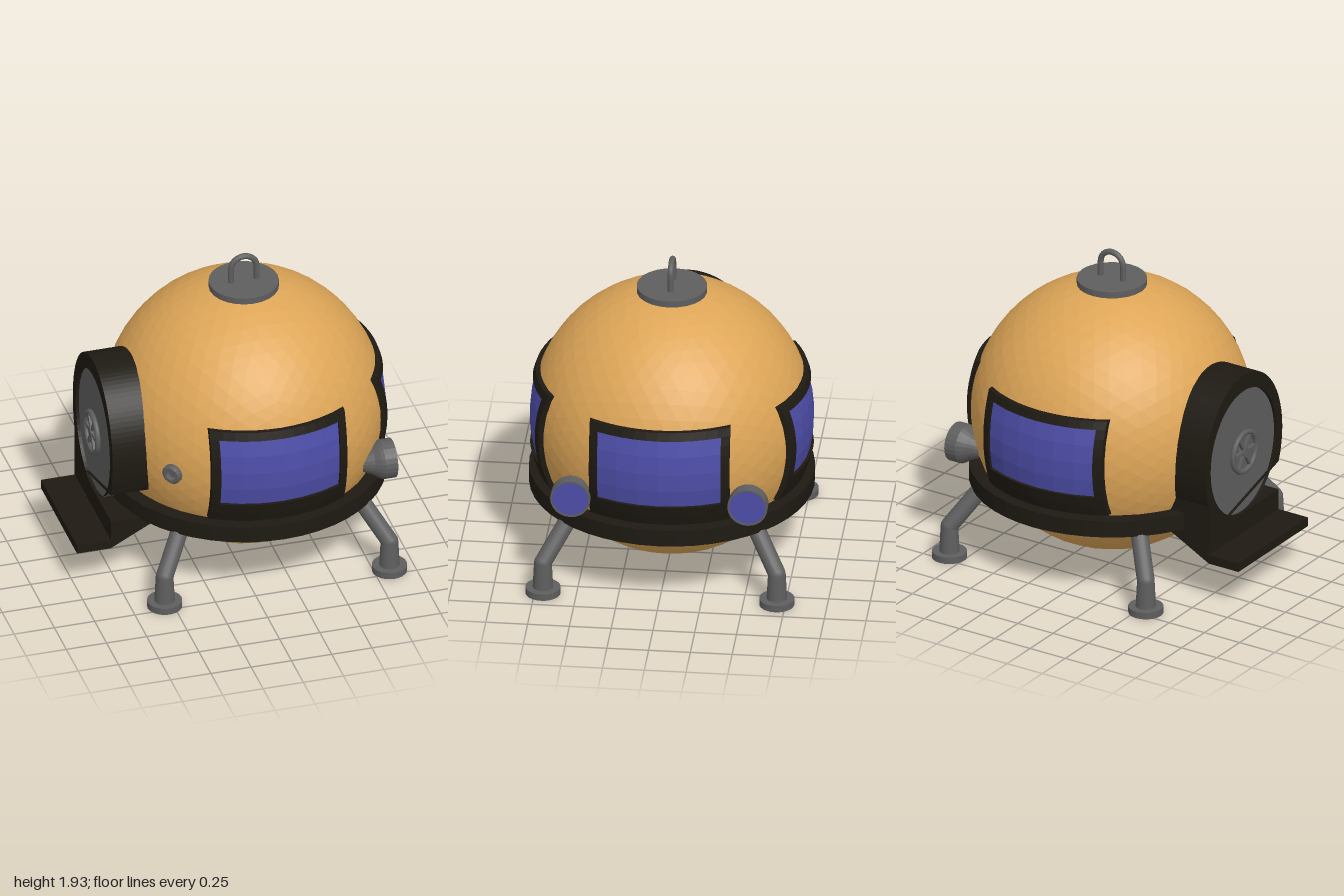
import * as THREE from 'three';

const CX = 0.147, CY = 0.88, R = 0.84;

const paint = (color, flatShading = true) =>
  new THREE.MeshStandardMaterial({ color, flatShading, side: THREE.DoubleSide });
const ORANGE = paint(0xdda557), BLACK = paint(0x1e1a13), GREY = paint(0x5e5e5e);
const SMOOTH_GREY = paint(0x5e5e5e, false), BLUE = paint(0x4d4da8);

function part(parent, name, geometry, material, x = 0, y = 0, z = 0) {
  const m = new THREE.Mesh(geometry, material);
  m.name = name;
  m.position.set(x, y, z);
  parent.add(m);
  return m;
}

// A block whose back and front faces are bent onto spheres of radius r0 and r1
function curvedBlock(x0, x1, y0, y1, r0, r1, nx, ny) {
  const g = new THREE.BoxGeometry(x1 - x0, y1 - y0, 1, nx, ny, 1);
  g.translate((x0 + x1) / 2, (y0 + y1) / 2, 0);
  const p = g.attributes.position;
  for (let i = 0; i < p.count; i++) {
    const r = p.getZ(i) > 0 ? r1 : r0, x = p.getX(i), y = p.getY(i);
    p.setZ(i, Math.sqrt(r * r - x * x - y * y));
  }
  g.computeVertexNormals();
  return g;
}

// Framed bubble window facing +z about the hull centre
function makeWindow(name) {
  const w = new THREE.Group();
  w.name = name;
  const bars = [
    ['frameTop', -0.42, 0.42, 0.25, 0.3, 12, 1],
    ['frameSill', -0.42, 0.42, -0.325, -0.19, 12, 2],
    ['frameLeft', 0.37, 0.42, -0.19, 0.25, 1, 8],
    ['frameRight', -0.42, -0.37, -0.19, 0.25, 1, 8],
  ];
  for (const [n, x0, x1, y0, y1, nx, ny] of bars)
    part(w, n, curvedBlock(x0, x1, y0, y1, 0.8, 0.866, nx, ny), BLACK);
  part(w, 'glass', curvedBlock(-0.375, 0.375, -0.195, 0.255, 0.8, 0.848, 6, 4), BLUE);
  return w;
}

// Landing leg: foot pad, upright and strut leaning in to the hull
function makeLeg(sx, sz) {
  const leg = new THREE.Group();
  leg.name = 'leg';
  part(leg, 'footPad', new THREE.CylinderGeometry(0.105, 0.105, 0.042, 24), GREY, sx * 0.698, 0.021, sz * 0.7);
  part(leg, 'upright', new THREE.CylinderGeometry(0.053, 0.062, 0.17, 16), SMOOTH_GREY, sx * 0.698, 0.12, sz * 0.7);
  part(leg, 'knee', new THREE.SphereGeometry(0.053, 16, 10), SMOOTH_GREY, sx * 0.698, 0.205, sz * 0.7);
  const a = new THREE.Vector3(sx * 0.698, 0.205, sz * 0.7);
  const b = new THREE.Vector3(sx * 0.52, 0.5, sz * 0.52);
  part(leg, 'strut', new THREE.TubeGeometry(new THREE.LineCurve3(a, b), 1, 0.053, 16), SMOOTH_GREY);
  return leg;
}

// Headlamp facing +x
function makeLamp(z) {
  const lamp = new THREE.Group();
  lamp.name = 'headlamp';
  const profile = [[0, 0], [0.055, 0], [0.065, 0.02], [0.085, 0.065], [0.11, 0.1], [0.12, 0.12],
    [0.12, 0.195], [0.109, 0.195], [0.109, 0.17]].map(([r, y]) => new THREE.Vector2(r, y));
  part(lamp, 'lampShell', new THREE.LatheGeometry(profile, 24), GREY);
  part(lamp, 'lens', new THREE.CylinderGeometry(0.11, 0.11, 0.02, 24), BLUE, 0, 0.18, 0);
  lamp.rotation.z = -Math.PI / 2;
  lamp.position.set(0.72, 0.677, z);
  return lamp;
}

// Hatch on the -x side: arched housing, oval door, hand wheel and step
function makeHatch() {
  const hatch = new THREE.Group();
  hatch.name = 'hatch';
  const cy = 0.84;

  const arch = new THREE.Shape();
  arch.moveTo(0.38, 0.41 - cy);
  arch.absellipse(0, 0, 0.42, 0.505, -0.44, Math.PI + 0.44, false);
  arch.lineTo(-0.38, 0.41 - cy);
  arch.closePath();
  const hole = new THREE.Path();
  hole.absellipse(0, 0, 0.36, 0.4, 0, Math.PI * 2, true);
  arch.holes.push(hole);
  const housing = part(hatch, 'hatchHousing',
    new THREE.ExtrudeGeometry(arch, { depth: 0.34, bevelEnabled: false, curveSegments: 32 }), BLACK, -0.45, cy, 0);
  housing.rotation.y = -Math.PI / 2;

  const door = part(hatch, 'door', new THREE.CylinderGeometry(0.365, 0.365, 0.05, 40), GREY, -0.745, cy, 0);
  door.rotation.z = Math.PI / 2;
  door.scale.x = 1.11;

  // Hand wheel with crossed spokes
  const wheel = new THREE.Group();
  wheel.name = 'handWheel';
  wheel.position.set(-0.795, cy, 0);
  wheel.rotation.y = -Math.PI / 2;
  part(wheel, 'wheelRim', new THREE.TorusGeometry(0.125, 0.017, 8, 28), SMOOTH_GREY);
  for (let i = 0; i < 3; i++)
    part(wheel, 'spoke', new THREE.BoxGeometry(0.24, 0.022, 0.02), GREY).rotation.z = i * Math.PI / 3;
  const axle = part(wheel, 'axle', new THREE.CylinderGeometry(0.03, 0.03, 0.06, 12), GREY, 0, 0, -0.015);
  axle.rotation.x = Math.PI / 2;
  hatch.add(wheel);

  // Step with sloped underside
  const step = new THREE.Shape([[-1, 0.252], [-0.79, 0.252], [-0.45, 0.432], [-0.45, 0.44], [-0.79, 0.44],
    [-0.79, 0.308], [-1, 0.308]].map(([x, y]) => new THREE.Vector2(x, y)));
  part(hatch, 'step', new THREE.ExtrudeGeometry(step, { depth: 0.76, bevelEnabled: false }), BLACK, 0, 0, -0.38);
  return hatch;
}

export function createModel() {
  const model = new THREE.Group();
  model.name = 'divingPod';

  part(model, 'hull', new THREE.IcosahedronGeometry(R, 9), ORANGE, CX, CY, 0);
  part(model, 'bumperRing', new THREE.CylinderGeometry(0.852, 0.852, 0.105, 48), BLACK, CX, 0.487, 0);

  // Windows at front, left and back
  ['frontWindow', 'leftWindow', 'backWindow'].forEach((name, i) => {
    const w = makeWindow(name);
    w.position.set(CX, CY, 0);
    w.rotation.y = i * Math.PI / 2;
    model.add(w);
  });

  // Legs
  const legs = new THREE.Group();
  legs.name = 'legs';
  legs.position.x = CX;
  for (const sx of [-1, 1]) for (const sz of [-1, 1]) legs.add(makeLeg(sx, sz));
  model.add(legs);

  model.add(makeLamp(0.53), makeLamp(-0.53), makeHatch());

  // Top cap and lifting loop
  part(model, 'topCap', new THREE.CylinderGeometry(0.21, 0.21, 0.04, 24), GREY, CX, 1.725, 0);
  const loop = new THREE.CurvePath();
  const arc = [];
  for (let i = 0; i <= 8; i++) {
    const a = Math.PI * (1 - i / 8);
    arc.push(new THREE.Vector3(0.08 * Math.cos(a), 1.832 + 0.08 * Math.sin(a), 0));
  }
  loop.add(new THREE.LineCurve3(new THREE.Vector3(-0.08, 1.72, 0), arc[0]));
  loop.add(new THREE.CatmullRomCurve3(arc));
  loop.add(new THREE.LineCurve3(arc[8], new THREE.Vector3(0.08, 1.72, 0)));
  part(model, 'liftingLoop', new THREE.TubeGeometry(loop, 40, 0.018, 12), SMOOTH_GREY, CX, 0, 0);

  // Small port on the front right of the hull
  const out = new THREE.Vector3(-0.605, -0.03, 0.58).normalize();
  const profile = [[0.045, -0.03], [0.045, 0.015], [0.062, 0.02], [0.062, 0.045], [0.05, 0.055],
    [0.034, 0.055], [0.034, 0.02], [0, 0.02]].map(([r, y]) => new THREE.Vector2(r, y));
  const port = part(model, 'sidePort', new THREE.LatheGeometry(profile, 16), GREY);
  port.position.set(CX, CY, 0).addScaledVector(out, R - 0.015);
  port.quaternion.setFromUnitVectors(new THREE.Vector3(0, 1, 0), out);

  return model;
}
